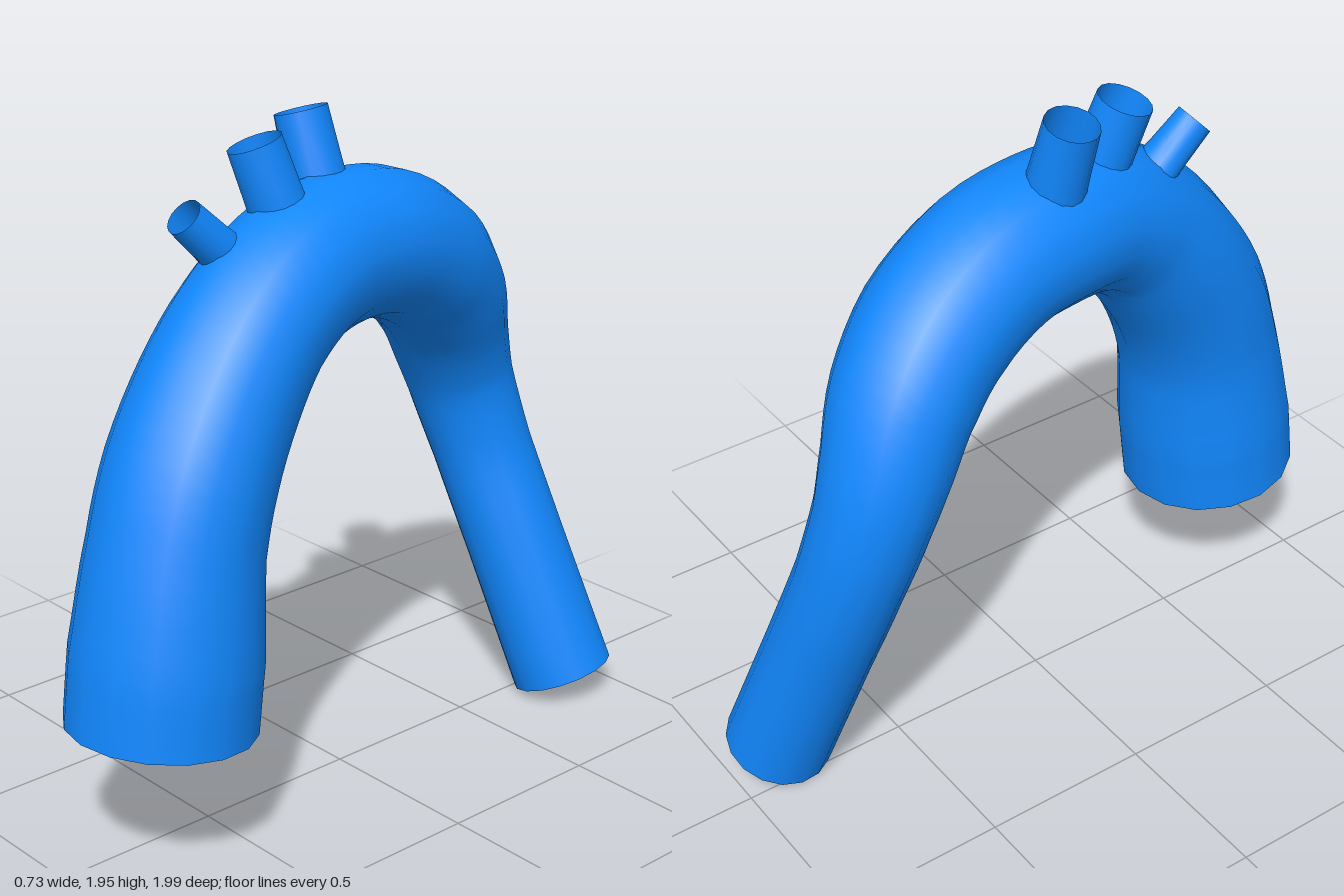
import * as THREE from 'three';

const material = new THREE.MeshStandardMaterial({ color: 0x1188ff, side: THREE.DoubleSide });

// Open tube through stations [x, y, z, radius], smoothly interpolated
function vessel(name, stations, steps, sides = 16) {
  const curve = new THREE.CatmullRomCurve3(stations.map(([x, y, z]) => new THREE.Vector3(x, y, z)));
  const last = stations.length - 1;
  const positions = [], indices = [];
  const normal = new THREE.Vector3(1, 0, 0);
  for (let i = 0; i <= steps; i++) {
    const t = i / steps;
    const centre = curve.getPoint(t);
    const tangent = curve.getTangent(t);
    // carry the cross-section frame along the path without twisting
    normal.addScaledVector(tangent, -normal.dot(tangent)).normalize();
    const binormal = new THREE.Vector3().crossVectors(tangent, normal);
    const k = Math.min(Math.floor(t * last), last - 1);
    const radius = THREE.MathUtils.lerp(stations[k][3], stations[k + 1][3], t * last - k);
    for (let j = 0; j < sides; j++) {
      const a = (j / sides) * Math.PI * 2;
      const p = centre.clone()
        .addScaledVector(normal, radius * Math.cos(a))
        .addScaledVector(binormal, radius * Math.sin(a));
      positions.push(p.x, p.y, p.z);
      if (i < steps) {
        const n = (j + 1) % sides, r0 = i * sides, r1 = r0 + sides;
        indices.push(r0 + j, r0 + n, r1 + j, r0 + n, r1 + n, r1 + j);
      }
    }
  }
  const geometry = new THREE.BufferGeometry();
  geometry.setAttribute('position', new THREE.Float32BufferAttribute(positions, 3));
  geometry.setIndex(indices);
  geometry.computeVertexNormals();
  const mesh = new THREE.Mesh(geometry, material);
  mesh.name = name;
  return mesh;
}

export function createModel() {
  const group = new THREE.Group();
  group.name = 'archedVessel';

  // Main arch: wide front leg, over the crown, down the slim back leg
  group.add(vessel('arch', [
    [0.10, 0.415, 0.73, 0.265],
    [0.10, 0.62, 0.705, 0.265],
    [0.09, 0.91, 0.655, 0.24],
    [0.075, 1.10, 0.587, 0.235],
    [0.05, 1.29, 0.467, 0.225],
    [0.03, 1.43, 0.342, 0.215],
    [0.0, 1.525, 0.185, 0.213],
    [-0.04, 1.56, 0.0, 0.215],
    [-0.07, 1.54, -0.205, 0.215],
    [-0.11, 1.44, -0.40, 0.212],
    [-0.155, 1.305, -0.53, 0.2],
    [-0.19, 1.15, -0.61, 0.18],
    [-0.195, 1.0, -0.665, 0.163],
    [-0.15, 0.78, -0.72, 0.153],
    [-0.045, 0.485, -0.77, 0.153],
    [0.11, 0.06, -0.84, 0.157],
  ], 60));

  // Three short open branches on the crown
  group.add(vessel('backBranch', [[-0.10, 1.69, -0.02, 0.087], [-0.16, 1.93, 0.0, 0.076]], 2));
  group.add(vessel('middleBranch', [[-0.03, 1.67, 0.175, 0.084], [-0.075, 1.89, 0.235, 0.078]], 2));
  group.add(vessel('frontBranch', [[-0.035, 1.62, 0.375, 0.064], [-0.05, 1.74, 0.495, 0.054]], 2));

  return group;
}
